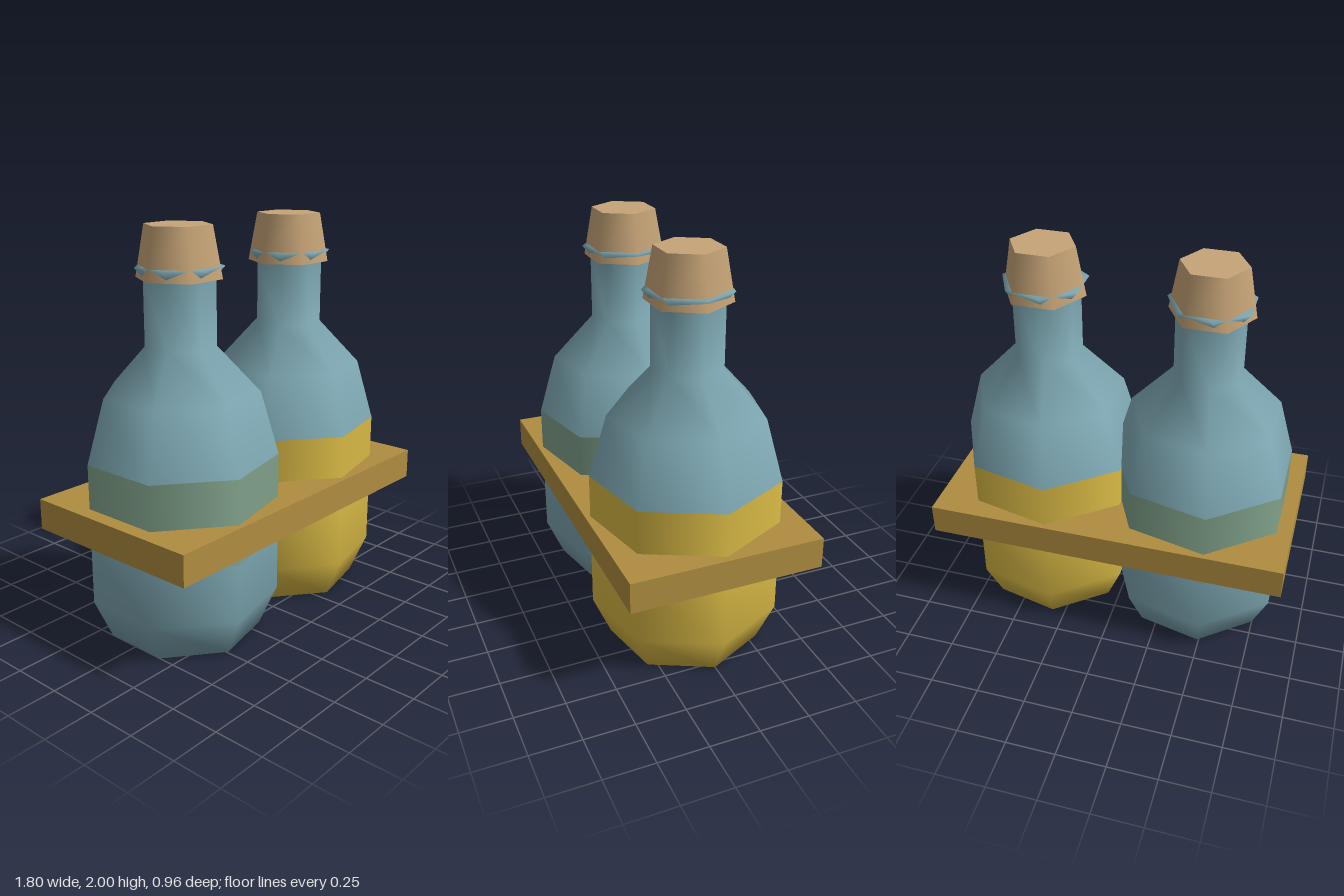
import * as THREE from 'three';

const SIDES = 7;
const mat = (name, color) => Object.assign(new THREE.MeshStandardMaterial({ color }), { name });

export function createModel() {
  const glass = mat('blue glass', 0x7ea8b3);
  const yellow = mat('yellow liquid', 0xdcbc46);
  const green = mat('green band', 0x82a48c);
  const wood = mat('wood', 0xb08d40);
  const corkMat = mat('cork', 0xc6a477);
  glass.side = THREE.DoubleSide;

  const model = new THREE.Group();
  model.name = 'bottleRack';

  // Seven-sided surface of revolution with one corner towards +x
  const turned = (name, profile, material) => {
    const points = profile.map(([r, y]) => new THREE.Vector2(r, y));
    const mesh = new THREE.Mesh(new THREE.LatheGeometry(points, SIDES, Math.PI / 2), material);
    mesh.name = name;
    return mesh;
  };

  const R = 0.468, FILL = 0.91;
  const base = [[0, 0], [0.38, 0], [R, 0.2]];

  function bottle(name, x, lowerMat, bandMat, bandBottom) {
    const group = new THREE.Group();
    group.name = name;
    group.position.x = x;

    // Body below and above the fill line
    group.add(turned('lowerBody', [...base, [R, bandBottom]], lowerMat));
    group.add(turned('band', [[R, bandBottom], [R, FILL]], bandMat));
    group.add(turned('shoulderAndNeck',
      [[R, FILL], [0.38, 1.22], [0.173, 1.44], [0.173, 1.765]], glass));

    // Flared lip poking out through the stopper
    group.add(turned('lip', [[0.173, 1.765], [0.214, 1.813], [0.15, 1.813]], glass));

    // Six-sided tapered stopper
    const stopper = new THREE.CylinderGeometry(0.162, 0.207, 0.245, 6, 1, false, Math.PI / 2);
    const cork = new THREE.Mesh(stopper, corkMat);
    cork.name = 'cork';
    cork.position.y = 1.8775;
    group.add(cork);
    return group;
  }

  model.add(bottle('leftBottle', 0.403, yellow, yellow, 0.49));
  model.add(bottle('rightBottle', -0.407, glass, green, 0.49));

  // Board that holds both bottles
  const board = new THREE.Mesh(new THREE.BoxGeometry(1.805, 0.155, 0.965), wood);
  board.name = 'board';
  board.position.y = 0.612;
  model.add(board);

  return model;
}
